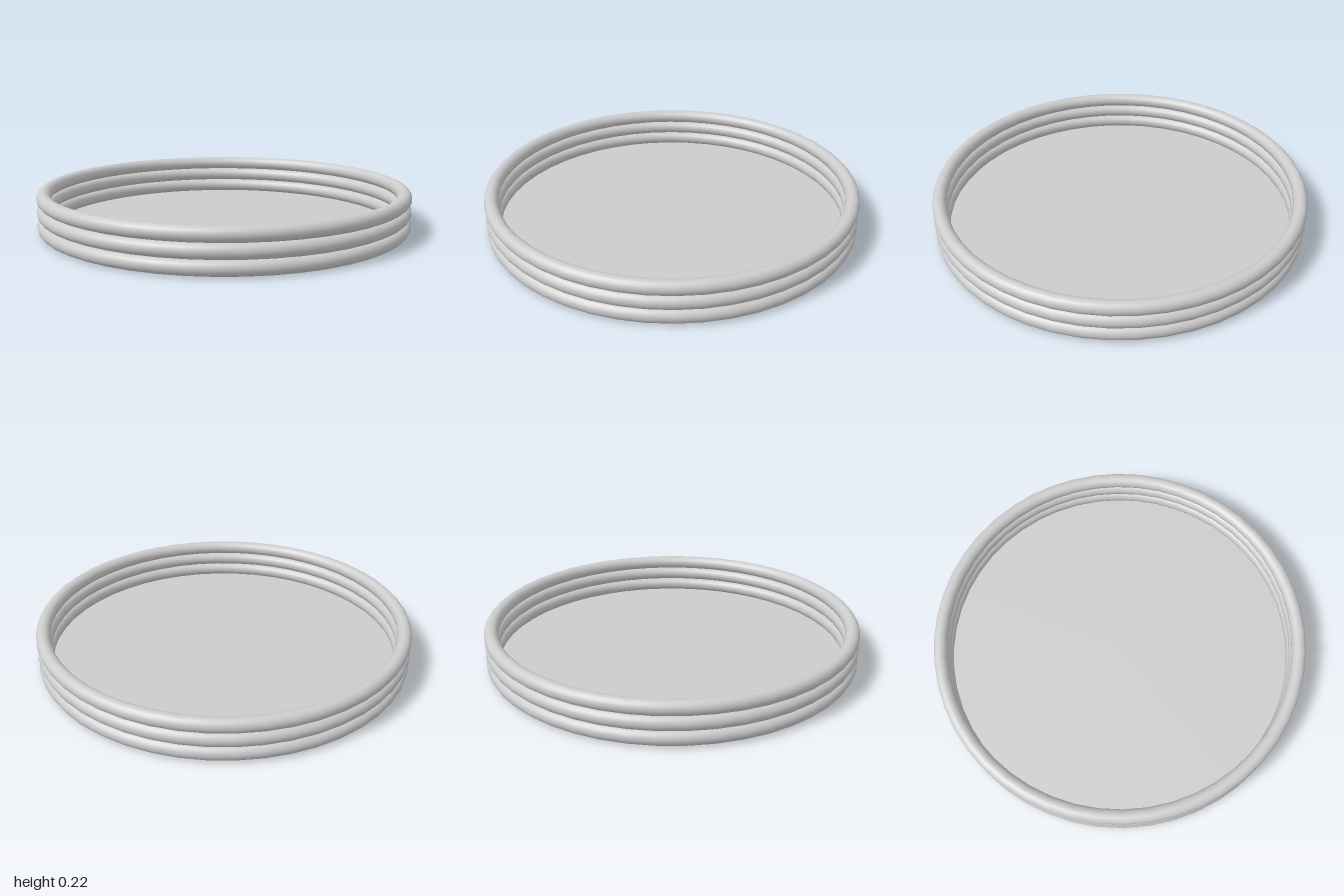
import * as THREE from 'three';

export function createModel() {
  const group = new THREE.Group();
  group.name = 'paddlingPool';
  const material = new THREE.MeshStandardMaterial({ color: 0xcccccc });

  const tube = 0.0375;          // tube radius
  const ring = 1 - tube;        // ring centre-line radius
  const spacing = 0.0745;       // height between rings
  const sides = 48;

  // Three stacked inflated rings
  const ringGeometry = new THREE.TorusGeometry(ring, tube, 20, sides).rotateX(Math.PI / 2);
  ['lowerRing', 'middleRing', 'upperRing'].forEach((name, i) => {
    const mesh = new THREE.Mesh(ringGeometry, material);
    mesh.name = name;
    mesh.position.y = tube + i * spacing;
    group.add(mesh);
  });

  // Thin floor sheet, joined to the underside of the lowest ring
  const floorMaterial = material.clone();
  floorMaterial.side = THREE.DoubleSide;
  const floor = new THREE.Mesh(new THREE.CircleGeometry(ring, sides).rotateX(-Math.PI / 2), floorMaterial);
  floor.name = 'floor';
  group.add(floor);

  return group;
}
